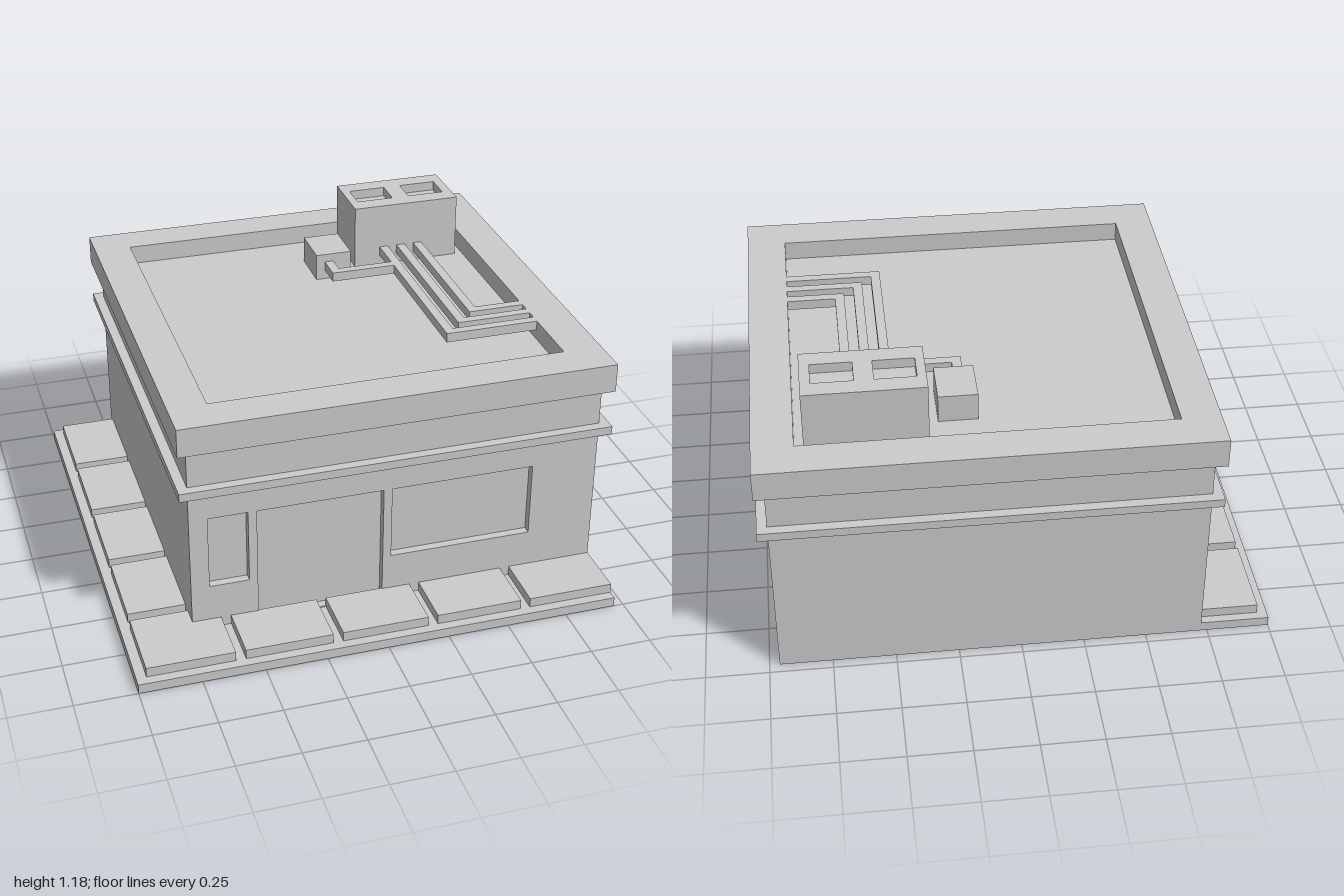
import * as THREE from 'three';

const material = new THREE.MeshStandardMaterial({ color: 0xcccccc, flatShading: true });

// Box given by its lower and upper limits on each axis
function block(parent, name, x0, x1, y0, y1, z0, z1) {
  const mesh = new THREE.Mesh(new THREE.BoxGeometry(x1 - x0, y1 - y0, z1 - z0), material);
  mesh.position.set((x0 + x1) / 2, (y0 + y1) / 2, (z0 + z1) / 2);
  mesh.name = name;
  parent.add(mesh);
  return mesh;
}

function trace(path, [a0, a1, b0, b1]) {
  path.moveTo(a0, b0);
  path.lineTo(a1, b0);
  path.lineTo(a1, b1);
  path.lineTo(a0, b1);
  path.closePath();
  return path;
}

// Rectangular panel with rectangular holes, extruded along +z
function panel(outer, holes, depth) {
  const shape = trace(new THREE.Shape(), outer);
  for (const hole of holes) shape.holes.push(trace(new THREE.Path(), hole));
  return new THREE.ExtrudeGeometry(shape, { depth, bevelEnabled: false });
}

// Same panel lying flat: limits are x and z, extruded up from y0 to y1
function flatPanel(parent, name, outer, holes, y0, y1) {
  const flip = ([x0, x1, z0, z1]) => [x0, x1, -z1, -z0];
  const geometry = panel(flip(outer), holes.map(flip), y1 - y0);
  geometry.rotateX(-Math.PI / 2);
  const mesh = new THREE.Mesh(geometry, material);
  mesh.position.y = y0;
  mesh.name = name;
  parent.add(mesh);
}

export function createModel() {
  const model = new THREE.Group();
  model.name = 'shopBuilding';

  // Pavement plate with raised slabs along the front and one side
  const pavement = new THREE.Group();
  pavement.name = 'pavement';
  model.add(pavement);
  block(pavement, 'pavementBase', -1, 0.96, 0, 0.04, -0.96, 1);
  for (let i = 0; i < 5; i++) {
    const x = -0.96 + i * 0.392;
    block(pavement, 'frontSlab', x, x + 0.352, 0.04, 0.08, i === 0 ? 0.645 : 0.72, 0.96);
  }
  for (let i = 0; i < 4; i++) {
    const z = -0.925 + i * 0.392;
    block(pavement, 'sideSlab', -0.96, -0.72, 0.04, 0.08, z, z + 0.352);
  }

  // Walls: solid core and a front wall with recessed windows and door
  const wallFront = 0.725, recess = 0.035;
  block(model, 'walls', -0.725, 0.96, 0.04, 0.905, -0.96, wallFront - recess);
  const frontWall = new THREE.Mesh(panel([-0.725, 0.96, 0.04, 0.905], [
    [-0.65, -0.49, 0.235, 0.55],
    [-0.455, 0.06, 0.045, 0.55],
    [0.095, 0.685, 0.235, 0.55],
  ], recess), material);
  frontWall.position.z = wallFront - recess;
  frontWall.name = 'frontWall';
  model.add(frontWall);

  // Ledge and roof parapet around a sunken roof
  const roofOuter = [-0.765, 1, -1, 0.765];
  const roofInner = [-0.61, 0.84, -0.845, 0.605];
  block(model, 'ledge', -0.765, 1, 0.67, 0.705, -1, 0.765);
  flatPanel(model, 'parapet', roofOuter, [roofInner], 0.865, 0.985);

  // Ventilation unit with two sunken openings on top
  const vent = new THREE.Group();
  vent.name = 'ventilationUnit';
  model.add(vent);
  block(vent, 'unitBody', 0.335, 0.805, 0.905, 1.14, -0.805, -0.535);
  flatPanel(vent, 'unitTop', [0.335, 0.805, -0.805, -0.535], [
    [0.37, 0.53, -0.73, -0.61],
    [0.605, 0.765, -0.73, -0.61],
  ], 1.14, 1.18);

  block(model, 'junctionBox', 0.135, 0.29, 0.905, 1.02, -0.65, -0.455);

  // Square pipes from the unit, turning toward the parapet
  const pipes = new THREE.Group();
  pipes.name = 'roofPipes';
  model.add(pipes);
  const w = 0.038, y0 = 0.945, y1 = 0.985;
  for (let i = 0; i < 3; i++) {
    const x = 0.45 + i * 0.078, z = 0.292 - i * 0.078;
    block(pipes, 'pipeRun', x, x + w, y0, y1, -0.535, z + w);
    block(pipes, 'pipeOutlet', x + w, 0.84, y0, y1, z, z + w);
  }
  // Branch from the junction box
  block(pipes, 'branchRun', 0.173, 0.173 + w, y0, y1, -0.455, -0.338);
  block(pipes, 'branchLink', 0.173 + w, 0.45, y0, y1, -0.338 - w, -0.338);

  return model;
}
